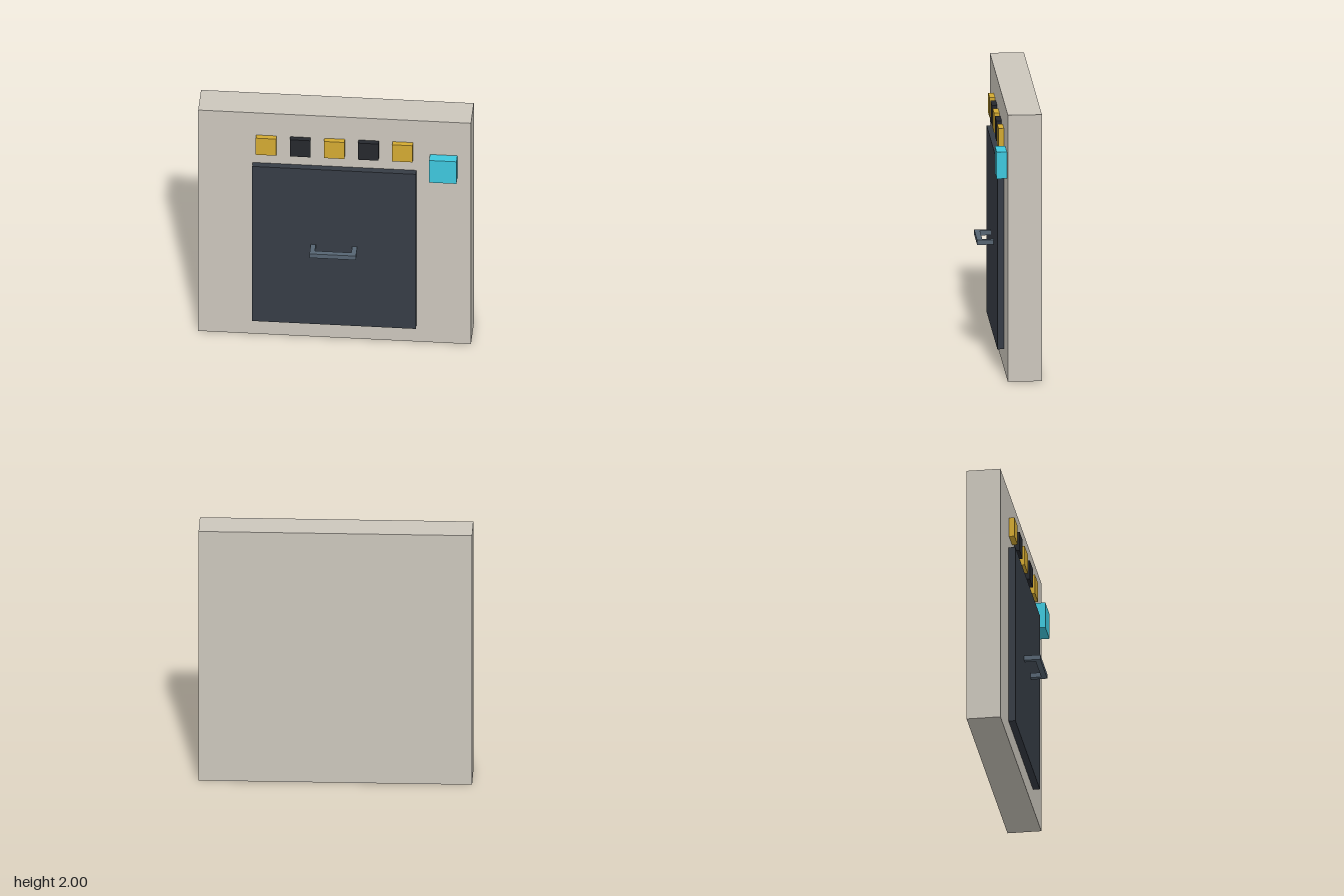
import * as THREE from 'three';

const WALL_FRONT = 0.04;

export function createModel() {
  const model = new THREE.Group();
  const material = (color) => new THREE.MeshStandardMaterial({ color });
  const stone = material(0xcbc6bc);
  const slate = material(0x363c45);
  const black = material(0x25282d);
  const gold = material(0xd2a932);
  const cyan = material(0x3ec7dd);
  const steel = material(0x566472);

  // Box given by its centre in x and y, its size, and its back and front in z
  function block(name, mat, x, y, w, h, back, front, parent = model) {
    const mesh = new THREE.Mesh(new THREE.BoxGeometry(w, h, front - back), mat);
    mesh.name = name;
    mesh.position.set(x, y, (back + front) / 2);
    parent.add(mesh);
  }

  // Wall slab and the door panel on its front
  block('wall', stone, 0, 1, 2, 2, -0.21, WALL_FRONT);
  block('door', slate, 0, 0.85, 1.2, 1.4, WALL_FRONT, 0.09);

  // Row of alternating tiles above the door
  for (let i = 0; i < 5; i++) {
    block(`tile${i + 1}`, i % 2 ? black : gold, (i - 2) * 0.25, 1.725, 0.15, 0.15, WALL_FRONT, 0.08);
  }

  // Square button beside the door
  block('button', cyan, 0.8, 1.6, 0.2, 0.2, WALL_FRONT, 0.115);

  // Door handle: a grip bar on two posts
  const handle = new THREE.Group();
  handle.name = 'handle';
  model.add(handle);
  block('grip', steel, 0, 0.853, 0.34, 0.036, 0.17, 0.21, handle);
  for (const side of [-1, 1]) {
    block(side > 0 ? 'leftPost' : 'rightPost', steel, side * 0.152, 0.853, 0.036, 0.036, 0.09, 0.17, handle);
  }

  return model;
}
